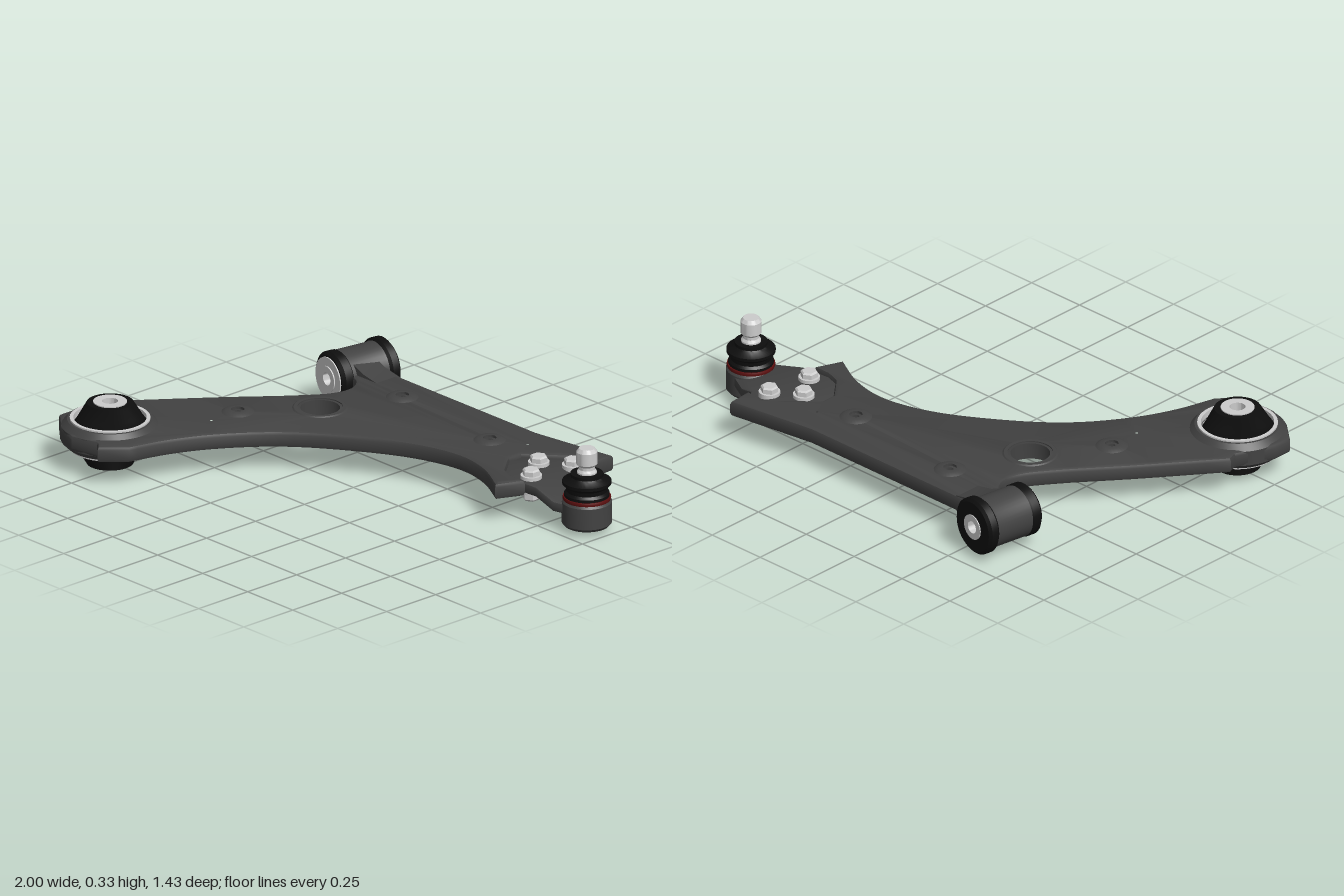
import * as THREE from 'three';
import { toCreasedNormals } from 'three/addons/utils/BufferGeometryUtils.js';

const material = (name, color) => {
  const m = new THREE.MeshStandardMaterial({ color });
  m.name = name;
  return m;
};

export function createModel() {
  const model = new THREE.Group();
  model.name = 'controlArm';
  const steel = material('dark painted steel', 0x424242);
  const rubber = material('black rubber', 0x0e0e0e);
  const bright = material('bright metal', 0xcccccc);
  const red = material('dark red clip', 0x5e1010);

  const add = (name, geometry, mat, parent = model, crease = 0.6) => {
    const mesh = new THREE.Mesh(toCreasedNormals(geometry, crease), mat);
    mesh.name = name;
    parent.add(mesh);
    return mesh;
  };
  const lathe = (points, sides = 40) =>
    new THREE.LatheGeometry(points.map(([r, y]) => new THREE.Vector2(r, y)), sides);
  // Closed ring: outer profile going up, then back down the bore
  const ring = (bore, points, sides) =>
    lathe([[bore, points[0][1]], ...points, [bore, points.at(-1)[1]], [bore, points[0][1]]], sides);
  // Flat part drawn in plan (x, z) and raised from y0 to y1 with rounded edges
  const slab = (outline, holes, y0, y1, bevel) => {
    const shape = new THREE.Shape(outline.map(([x, z]) => new THREE.Vector2(x, -z)));
    for (const [x, z, r] of holes) {
      shape.holes.push(new THREE.Path().absarc(x, -z, r, 0, Math.PI * 2, true));
    }
    const g = new THREE.ExtrudeGeometry(shape, {
      depth: y1 - y0 - 2 * bevel, curveSegments: 20, bevelEnabled: true,
      bevelThickness: bevel, bevelSize: bevel, bevelOffset: -bevel, bevelSegments: 2,
    });
    return g.rotateX(-Math.PI / 2).translate(0, y0 + bevel, 0);
  };
  const spline = (points, n) => new THREE.CatmullRomCurve3(
    points.map(([x, z]) => new THREE.Vector3(x, 0, z))).getPoints(n).map((p) => [p.x, p.z]);

  // Pressed arm, with a notch for the ball joint bracket
  const pocket = [[0.64, -0.57], [0.575, -0.51], [0.475, -0.42], [0.475, -0.36], [0.55, -0.27], [0.61, -0.25]];
  const innerEdge = spline([[0.635, -0.14], [0.485, -0.215], [0.335, -0.24], [0.14, -0.195], [-0.085, -0.07],
    [-0.30, 0.10], [-0.45, 0.30], [-0.525, 0.46], [-0.57, 0.62]], 40);
  const outerEdge = spline([[-0.945, 0.32], [-0.715, 0.02], [-0.53, -0.21], [-0.46, -0.32],
    [-0.45, -0.40], [-0.49, -0.46], [-0.57, -0.485]], 24);
  const outline = [[-0.57, -0.61], [-0.50, -0.62], [-0.42, -0.61], [0.35, -0.61], [0.72, -0.665], [0.727, -0.56],
    ...pocket, [0.68, -0.25], ...innerEdge, [-0.65, 0.71], [-0.69, 0.675], [-0.80, 0.705],
    [-0.90, 0.67], [-0.995, 0.59], [-0.995, 0.51], [-0.93, 0.36], ...outerEdge];
  const padHoles = [[-0.245, -0.475], [0.295, -0.425], [-0.555, 0.08]];
  const bush = [-0.797, 0.51];
  add('armPlate', slab(outline, [
    [-0.375, -0.175, 0.09], [0.425, -0.5, 0.02], [-0.555, 0.215, 0.02], [...bush, 0.15],
    ...padHoles.map((p) => [...p, 0.028]),
  ], 0.098, 0.165, 0.015), steel);

  // Raised pads around the locating holes
  for (const [x, z] of padHoles) {
    add('holePad', ring(0.025, [[0.045, 0.09], [0.065, 0.1], [0.065, 0.163], [0.045, 0.175]], 28), steel)
      .position.set(x, 0, z);
  }
  add('largeHoleLip', ring(0.086, [[0.1, 0.094], [0.108, 0.1], [0.108, 0.163], [0.1, 0.169]]), steel)
    .position.set(-0.375, 0, -0.175);

  // Vertical bushing: collar, outer shell, lens-shaped rubber and inner sleeve
  const verticalBushing = new THREE.Group();
  verticalBushing.name = 'verticalBushing';
  verticalBushing.position.set(bush[0], 0, bush[1]);
  model.add(verticalBushing);
  add('collar', ring(0.149, [[0.162, 0.078], [0.185, 0.1], [0.185, 0.16], [0.162, 0.183]], 48), steel, verticalBushing);
  add('outerShell', ring(0.138, [[0.152, 0.068], [0.152, 0.189]], 48), bright, verticalBushing);
  const lens = ring(0.05, [[0.088, 0.005], [0.126, 0.068], [0.139, 0.085], [0.139, 0.172], [0.126, 0.19], [0.088, 0.25]], 48);
  const pos = lens.attributes.position;
  for (let i = 0; i < pos.count; i++) {
    const r = Math.hypot(pos.getX(i), pos.getZ(i));
    pos.setX(i, pos.getX(i) * Math.min(1, 0.085 / r));
  }
  lens.rotateY(-0.585);
  add('rubberCore', lens, rubber, verticalBushing);
  add('innerSleeve', ring(0.03, [[0.064, 0], [0.064, 0.254]], 32), bright, verticalBushing);

  // Horizontal bushing, its axis turned slightly off the z axis
  const horizontalBushing = new THREE.Group();
  horizontalBushing.name = 'horizontalBushing';
  horizontalBushing.position.set(-0.603, 0.135, -0.565);
  horizontalBushing.quaternion.setFromUnitVectors(
    new THREE.Vector3(0, 1, 0), new THREE.Vector3(-0.155, 0, 0.988).normalize());
  model.add(horizontalBushing);
  add('housingTube', ring(0.08, [[0.104, -0.1], [0.1, -0.08], [0.1, 0.075]]), steel, horizontalBushing);
  add('rearRubberCap', ring(0.045, [[0.1, -0.138], [0.112, -0.128], [0.112, -0.1], [0.1, -0.088]]), rubber, horizontalBushing);
  add('frontRubberCap', ring(0.06, [[0.096, 0.066], [0.103, 0.075], [0.103, 0.108], [0.09, 0.12]]), rubber, horizontalBushing);
  add('frontWasher', ring(0.045, [[0.084, 0.112], [0.084, 0.125]]), bright, horizontalBushing);
  add('innerSleeve', ring(0.025, [[0.05, -0.142], [0.05, 0.13]], 32), bright, horizontalBushing);

  // Flared neck joining the arm to the horizontal bushing
  const neckShape = new THREE.Shape([[-0.4, 0.1], [-0.4, 0.163], [-0.48, 0.178], [-0.57, 0.215],
    [-0.57, 0.055], [-0.48, 0.085]].map((p) => new THREE.Vector2(...p)));
  add('bushingNeck', new THREE.ExtrudeGeometry(neckShape, { depth: 0.11, bevelEnabled: false })
    .translate(0, 0, -0.605), steel);

  // Ball joint bracket, dropping towards the ball housing
  const bracket = slab([[0.725, -0.55], ...pocket.map(([x, z]) => [x - 0.012, z]), [0.68, -0.255], [0.73, -0.26],
    [0.82, -0.265], [0.9, -0.29], [0.9, -0.43], [0.9, -0.455], [0.82, -0.50], [0.74, -0.535]], [], 0.108, 0.147, 0.006);
  const bp = bracket.attributes.position;
  for (let i = 0; i < bp.count; i++) {
    bp.setY(i, bp.getY(i) - 0.036 * THREE.MathUtils.smoothstep(bp.getX(i), 0.72, 0.84));
  }
  add('ballJointBracket', bracket, steel);

  // Bracket bolts, with heads above and nuts below
  for (const [x, z] of [[0.567, -0.425], [0.674, -0.5], [0.647, -0.313]]) {
    const bolt = new THREE.Group();
    bolt.name = 'bracketBolt';
    bolt.position.set(x, 0, z);
    model.add(bolt);
    add('boltFlanges', lathe([[0, 0.09], [0.041, 0.09], [0.041, 0.16], [0, 0.16]], 24), bright, bolt);
    add('boltHead', lathe([[0, 0.155], [0.034, 0.155], [0.034, 0.178], [0.028, 0.184], [0, 0.184]], 6), bright, bolt, 0.3);
    add('nut', lathe([[0, 0.06], [0.028, 0.06], [0.034, 0.067], [0.034, 0.095], [0, 0.095]], 6), bright, bolt, 0.3);
  }

  // Ball joint: housing, clip, boot and stud
  const ballJoint = new THREE.Group();
  ballJoint.name = 'ballJoint';
  ballJoint.position.set(0.905, 0, -0.36);
  model.add(ballJoint);
  add('ballHousing', lathe([[0, 0.028], [0.07, 0.028], [0.072, 0.023], [0.085, 0.023], [0.095, 0.035],
    [0.095, 0.118], [0.088, 0.128], [0, 0.128]]), steel, ballJoint);
  add('housingCover', lathe([[0, 0.024], [0.065, 0.024], [0.065, 0.03], [0, 0.03]]), bright, ballJoint);
  add('bootClip', lathe([[0, 0.127], [0.09, 0.127], [0.092, 0.134], [0.09, 0.141], [0, 0.141]]), red, ballJoint);
  add('rubberBoot', lathe([[0, 0.14], [0.086, 0.14], [0.086, 0.152], [0.078, 0.162], [0.08, 0.178], [0.093, 0.19],
    [0.093, 0.202], [0.07, 0.212], [0.062, 0.22], [0.062, 0.232], [0, 0.232]]), rubber, ballJoint);
  add('stud', lathe([[0, 0.22], [0.038, 0.22], [0.038, 0.238], [0.031, 0.248], [0.031, 0.26], [0.04, 0.27],
    [0.04, 0.318], [0.03, 0.332], [0, 0.332]], 28), bright, ballJoint);

  return model;
}
